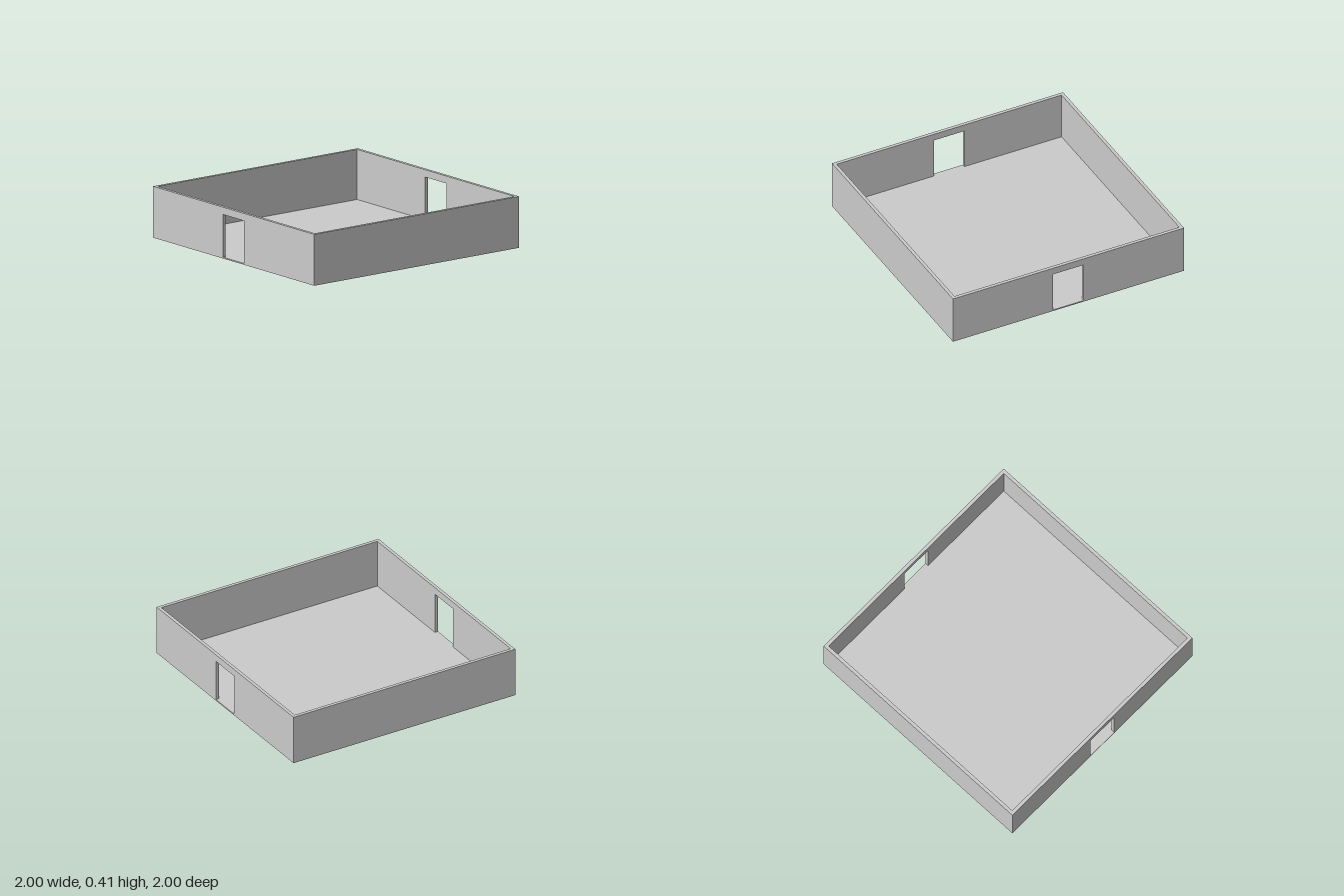
import * as THREE from 'three';

const HALF = 1, HEIGHT = 0.405, WALL = 0.027, FLOOR = 0.01;
const DOOR_HALF = 0.132, DOOR_TOP = 0.347;
const INNER = HALF - WALL;

export function createModel() {
  const group = new THREE.Group();
  const material = new THREE.MeshStandardMaterial({ color: 0xcccccc, flatShading: true });

  const add = (name, geometry, x, y, z) => {
    const mesh = new THREE.Mesh(geometry, material);
    mesh.name = name;
    mesh.position.set(x, y, z);
    group.add(mesh);
  };

  // Floor slab between the walls
  add('floor', new THREE.BoxGeometry(2 * INNER, FLOOR, 2 * INNER), 0, FLOOR / 2, 0);

  // Solid front and back walls
  const solidWall = new THREE.BoxGeometry(2 * HALF, HEIGHT, WALL);
  add('frontWall', solidWall, 0, HEIGHT / 2, HALF - WALL / 2);
  add('backWall', solidWall, 0, HEIGHT / 2, -HALF + WALL / 2);

  // Side walls with a centred doorway, drawn in the z-y plane
  const rectangle = (halfWidth, bottom, top) => [
    new THREE.Vector2(-halfWidth, bottom),
    new THREE.Vector2(halfWidth, bottom),
    new THREE.Vector2(halfWidth, top),
    new THREE.Vector2(-halfWidth, top),
  ];
  const outline = new THREE.Shape(rectangle(INNER, 0, HEIGHT));
  outline.holes.push(new THREE.Path(rectangle(DOOR_HALF, FLOOR, DOOR_TOP).reverse()));
  const doorWall = new THREE.ExtrudeGeometry(outline, { depth: WALL, bevelEnabled: false });
  doorWall.translate(0, 0, -WALL / 2).rotateY(-Math.PI / 2);
  add('leftDoorWall', doorWall, HALF - WALL / 2, 0, 0);
  add('rightDoorWall', doorWall, -HALF + WALL / 2, 0, 0);

  return group;
}
